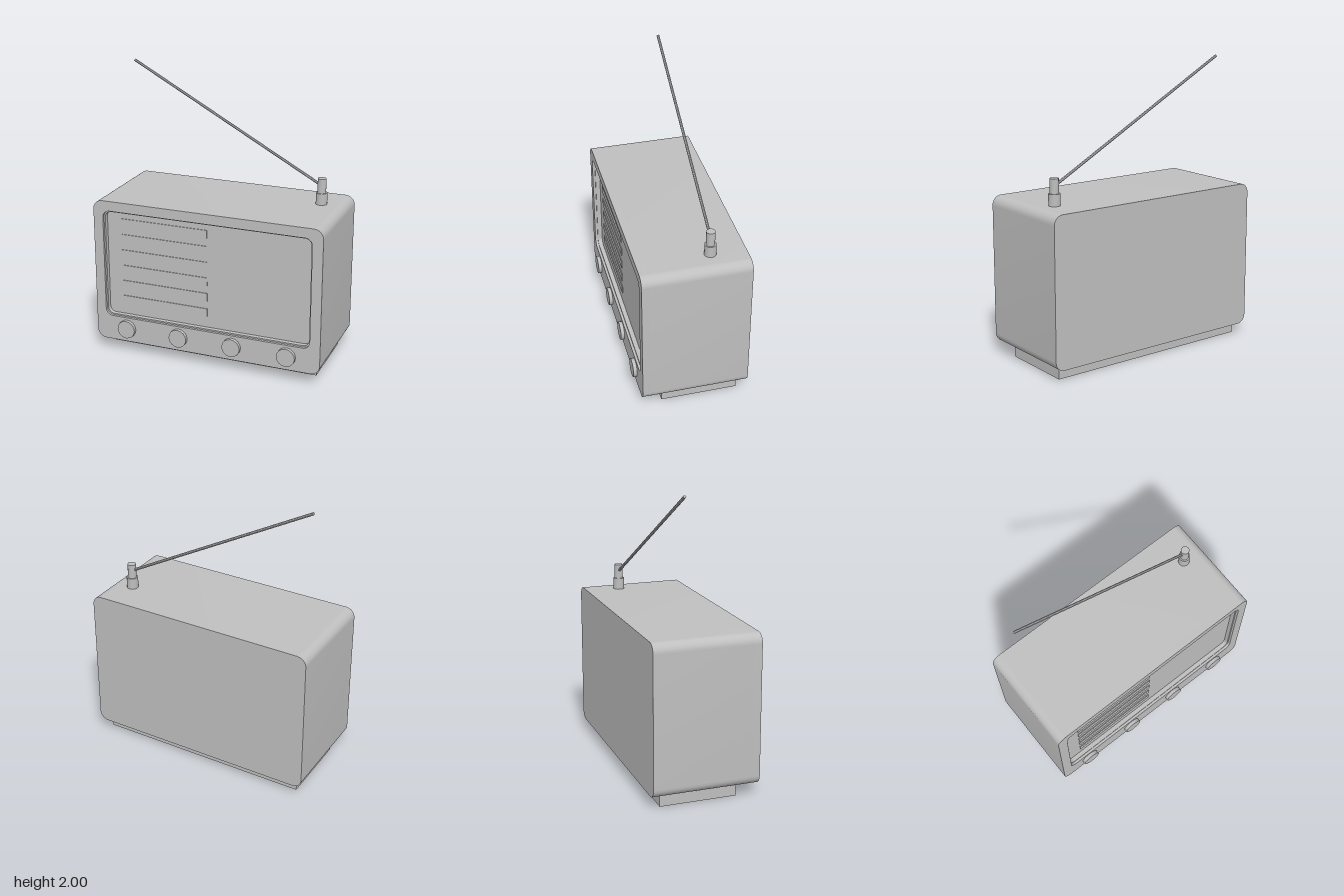
import * as THREE from 'three';
import { toCreasedNormals } from 'three/addons/utils/BufferGeometryUtils.js';

const grey = new THREE.MeshStandardMaterial({ color: 0xbfbfbf });
grey.name = 'light grey';

// Rounded rectangle between two corners
function roundedRect(x0, y0, x1, y1, r, Type = THREE.Shape) {
  const s = new Type();
  s.moveTo(x0 + r, y0);
  s.lineTo(x1 - r, y0);
  s.absarc(x1 - r, y0 + r, r, -Math.PI / 2, 0);
  s.lineTo(x1, y1 - r);
  s.absarc(x1 - r, y1 - r, r, 0, Math.PI / 2);
  s.lineTo(x0 + r, y1);
  s.absarc(x0 + r, y1 - r, r, Math.PI / 2, Math.PI);
  s.lineTo(x0, y0 + r);
  s.absarc(x0 + r, y0 + r, r, Math.PI, Math.PI * 1.5);
  return s;
}

export function createModel() {
  const group = new THREE.Group();

  function add(name, geometry, x = 0, y = 0, z = 0) {
    const mesh = new THREE.Mesh(geometry, grey);
    mesh.name = name;
    mesh.position.set(x, y, z);
    group.add(mesh);
    return mesh;
  }
  // Extrusion from z0 to z1, smooth round the corners
  function slab(name, shape, z0, z1) {
    const g = new THREE.ExtrudeGeometry(shape, { depth: z1 - z0, bevelEnabled: false, curveSegments: 8 });
    return add(name, toCreasedNormals(g, 0.6), 0, 0, z0);
  }
  const drum = (r, h, sides) => toCreasedNormals(new THREE.CylinderGeometry(r, r, h, sides), 0.6);

  const back = -0.38, front = 0.355, panel = 0.305;
  const outline = () => roundedRect(-0.823, 0.08, 0.823, 1.11, 0.065);

  // Cabinet, its front face being the recessed panel
  slab('cabinet', outline(), back, panel);

  // Raised frame round the panel
  const frame = outline();
  frame.holes.push(roundedRect(-0.753, 0.26, 0.75, 1.04, 0.05, THREE.Path));
  slab('frontFrame', frame, panel, front);

  // Narrow lip inside the frame
  const lip = roundedRect(-0.753, 0.26, 0.75, 1.04, 0.05);
  lip.holes.push(roundedRect(-0.743, 0.27, 0.74, 1.03, 0.042, THREE.Path));
  slab('frameLip', lip, panel, front - 0.018);

  // Speaker slats
  for (let i = 0; i < 6; i++) {
    add('speakerSlat', new THREE.BoxGeometry(0.635, 0.058, 0.006), -0.318, 0.379 + i * 0.1143, panel + 0.002);
  }

  // Control knobs
  for (const x of [-0.59, -0.197, 0.197, 0.59]) {
    add('knob', drum(0.065, 0.035, 16), x, 0.178, 0.3625).rotation.x = Math.PI / 2;
  }

  // Plinth
  add('plinth', new THREE.BoxGeometry(1.52, 0.08, 0.53), 0, 0.04, -0.052);

  // Aerial socket, pivot and slanted rod
  add('aerialSocket', drum(0.04, 0.08, 12), 0.656, 1.15, -0.138);
  add('aerialPivot', drum(0.03, 0.1, 12), 0.656, 1.24, -0.138);
  const a = new THREE.Vector3(0.656, 1.238, -0.138);
  const b = new THREE.Vector3(-0.718, 1.991, -0.138);
  const dir = b.clone().sub(a);
  const rod = add('aerialRod', drum(0.01, dir.length(), 8), ...a.clone().lerp(b, 0.5).toArray());
  rod.quaternion.setFromUnitVectors(new THREE.Vector3(0, 1, 0), dir.normalize());

  return group;
}
